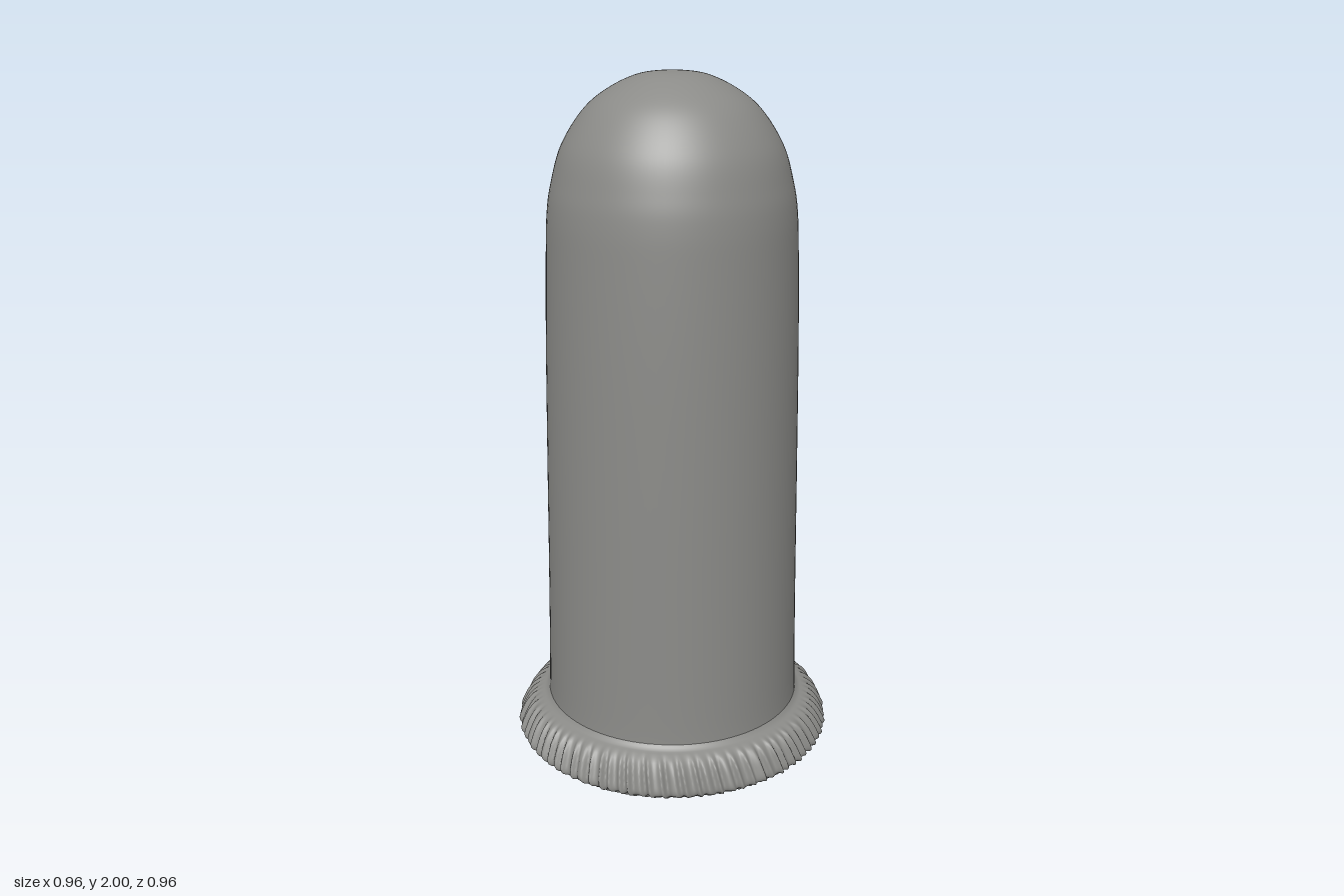
import * as THREE from 'three';
import { mergeVertices } from 'three/addons/utils/BufferGeometryUtils.js';

const points = (list) => list.map(([r, y]) => new THREE.Vector2(r, y));
const smooth = (list, n) => {
  const path = new THREE.SplineCurve(points(list)).getPoints(n);
  path.forEach((p) => { p.x = Math.max(p.x, 0); });
  return path;
};

// Irregular pleats around the hem: whole-number waves so the ring closes
function pleat(angle, y) {
  const a = angle + 0.35 * y;
  const wobble = 0.8 * Math.sin(5 * a + 1) + 0.7 * Math.sin(11 * a + 2);
  const fold = Math.sin(90 * a + wobble);
  return 0.75 * fold + 0.25 * Math.sin(37 * a + 0.6) + 0.25 * Math.sin(143 * a + 2.1);
}

function pleatedRing(profile, segments) {
  const geometry = new THREE.LatheGeometry(profile, segments);
  const pos = geometry.attributes.position;
  for (let i = 0; i < pos.count; i++) {
    const x = pos.getX(i), y = pos.getY(i), z = pos.getZ(i);
    const r = Math.hypot(x, z), angle = Math.atan2(x, z);
    // Folds fade out toward the tube and the opening
    const strength = THREE.MathUtils.smoothstep(r, 0.4, 0.46);
    const k = (r + 0.0075 * strength * pleat(angle, y)) / r;
    const lift = 0.004 * strength * pleat(angle + 0.01, y);
    pos.setXYZ(i, x * k, Math.max(0, y + lift), z * k);
  }
  geometry.deleteAttribute('normal');
  geometry.deleteAttribute('uv');
  const merged = mergeVertices(geometry, 1e-5);
  merged.computeVertexNormals();
  return merged;
}

export function createModel() {
  const group = new THREE.Group();
  const grey = new THREE.MeshStandardMaterial({ color: 0x8b8b88 });
  grey.name = 'grey';
  const add = (name, geometry) => {
    const mesh = new THREE.Mesh(geometry, grey);
    mesh.name = name;
    group.add(mesh);
  };

  // Tapered tube closed by a round dome
  const outer = [
    [0.386, 0.1], [0.38, 0.2], [0.374, 0.5], [0.368, 0.9], [0.362, 1.25], [0.355, 1.5],
    [0.349, 1.62], [0.336, 1.7], [0.306, 1.8], [0.245, 1.895], [0.175, 1.952], [0.09, 1.99], [0, 2],
  ];
  add('outerShell', new THREE.LatheGeometry(smooth(outer, 90), 96));

  // Hollow inside, following the outer wall
  const inner = outer.map(([r, y]) => [Math.max(0, r - 0.018), y > 1.6 ? y - 0.018 : y]).reverse();
  add('innerShell', new THREE.LatheGeometry(smooth(inner, 90), 96));

  // Flared, pleated hem, from the inner step round the underside to the tube
  const hem = [
    [0.366, 0.105], [0.385, 0.1], [0.398, 0.085], [0.404, 0.05], [0.402, 0.02], [0.41, 0.006],
    [0.428, 0.006], [0.442, 0.014], [0.453, 0.026], [0.467, 0.032], [0.471, 0.045],
    [0.462, 0.068], [0.448, 0.095], [0.43, 0.118], [0.41, 0.13], [0.393, 0.137], [0.381, 0.15],
  ];
  add('pleatedHem', pleatedRing(smooth(hem, 48), 720));

  return group;
}
